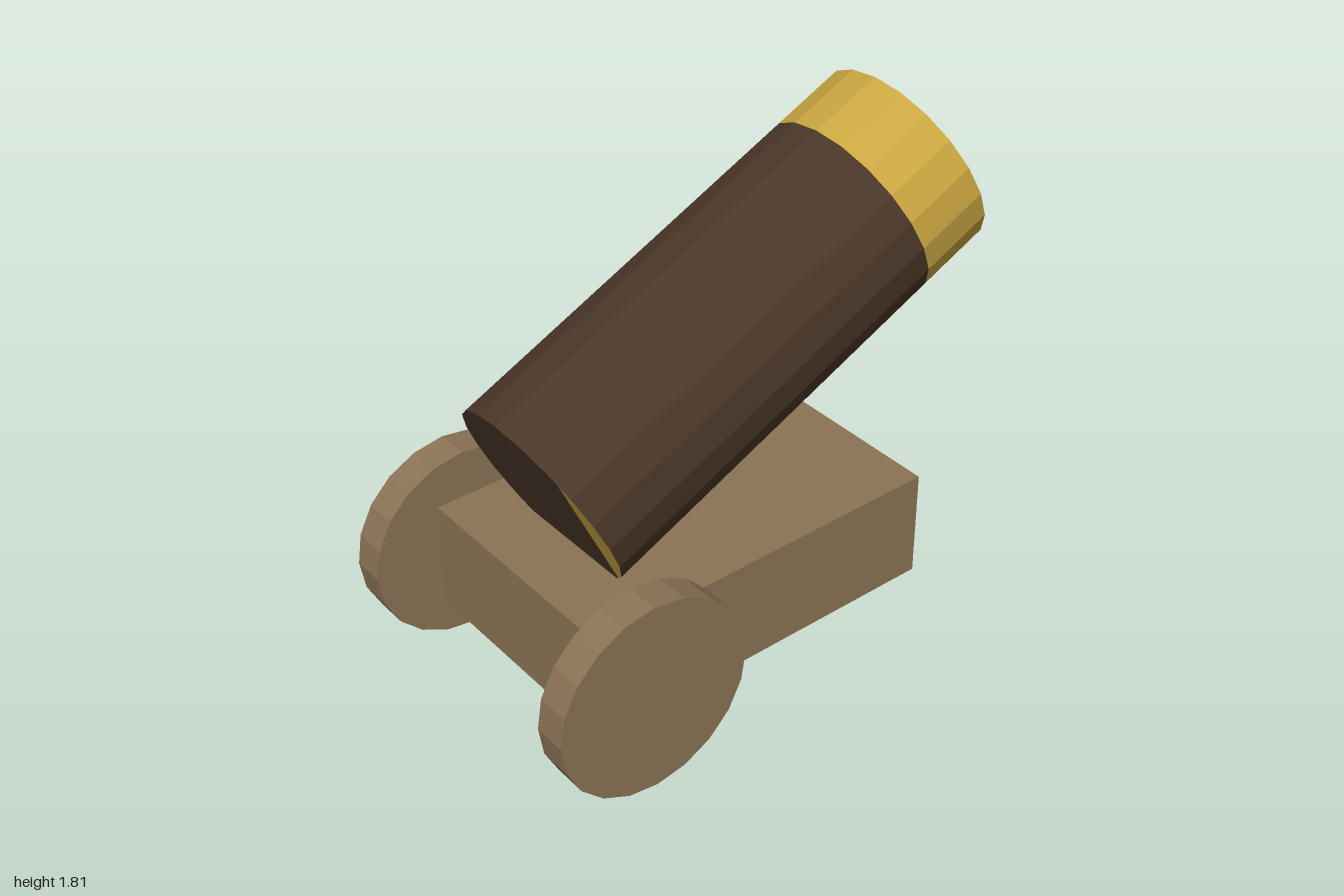
import * as THREE from 'three';

const mat = (name, color) => {
  const m = new THREE.MeshStandardMaterial({ color, flatShading: true });
  m.name = name;
  return m;
};

export function createModel() {
  const wood = mat('wood', 0x8b7355);
  const iron = mat('darkIron', 0x4a3728);
  const brass = mat('brass', 0xc9a640);

  const model = new THREE.Group();
  model.name = 'cannon';
  const add = (parent, name, geometry, material, x = 0, y = 0, z = 0) => {
    const mesh = new THREE.Mesh(geometry, material);
    mesh.name = name;
    mesh.position.set(x, y, z);
    parent.add(mesh);
    return mesh;
  };

  // Carriage block
  add(model, 'carriage', new THREE.BoxGeometry(1.338, 0.39, 0.866), wood, -0.096, 0.355, 0);

  // Pair of solid wheels
  const sides = 20;
  const wheel = new THREE.CylinderGeometry(0.354, 0.354, 0.118, sides).rotateX(Math.PI / 2);
  add(model, 'leftWheel', wheel, wood, -0.646, 0.354, -0.51);
  add(model, 'rightWheel', wheel, wood, -0.646, 0.354, 0.51);

  // Barrel, built along local y and tilted up 25 degrees
  const r = 0.354, half = 0.823, band = 0.267;
  const barrel = new THREE.Group();
  barrel.name = 'barrel';
  barrel.position.set(0.101, 1.14, 0);
  barrel.rotation.z = -THREE.MathUtils.degToRad(65);
  model.add(barrel);

  const tube = (len) => new THREE.CylinderGeometry(r, r, len, sides, 1, true);
  add(barrel, 'barrelTube', tube(2 * half - band), iron, 0, -band / 2, 0);
  add(barrel, 'muzzleBand', tube(band), brass, 0, half - band / 2, 0);

  // End faces: a dark disc with a brass segment on the +z side
  const rim = (deg, radius = r) => {
    const a = THREE.MathUtils.degToRad(deg);
    return new THREE.Vector2(radius * Math.sin(a), radius * Math.cos(a));
  };
  const mid = r * Math.cos(Math.PI / sides);
  const arc = (from, to) => {
    const pts = [rim(from, mid)];
    for (let d = from + 9; d < to; d += 18) pts.push(rim(d));
    pts.push(rim(to, mid));
    return pts;
  };
  const faces = [['Face', arc(45, 315), iron], ['Segment', arc(-45, 45), brass]];
  for (const [end, s] of [['muzzle', 1], ['breech', -1]]) {
    for (const [part, pts, material] of faces) {
      const shape = new THREE.Shape(pts.map((p) => new THREE.Vector2(p.x, -s * p.y)));
      const face = new THREE.ShapeGeometry(shape).rotateX(-s * Math.PI / 2);
      add(barrel, end + part, face, material, 0, s * half, 0);
    }
  }
  return model;
}
